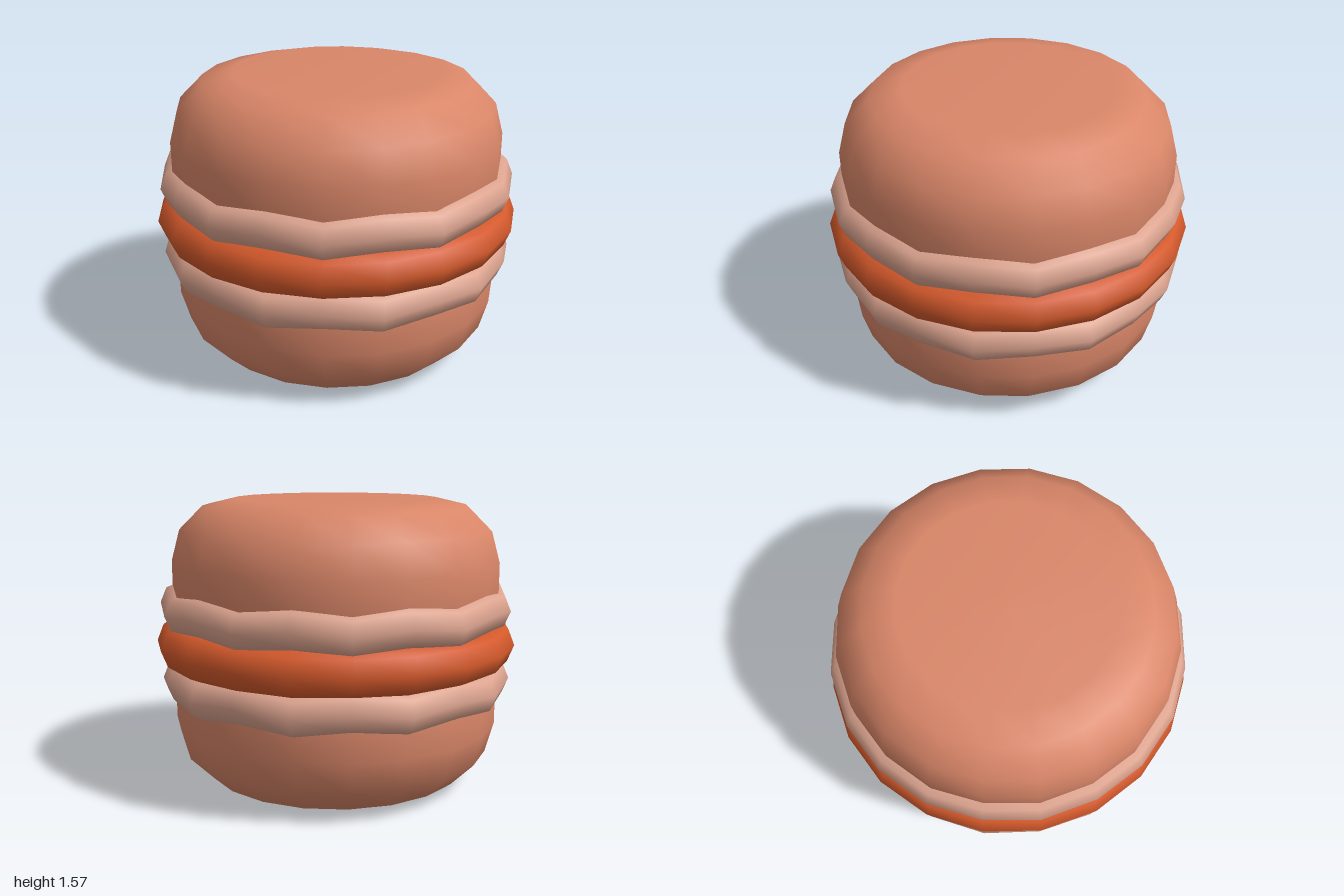
import * as THREE from 'three';

const SIDES = 20;
const HEIGHT = 1.57;

const mat = (name, color) => {
  const m = new THREE.MeshStandardMaterial({ color });
  m.name = name;
  return m;
};

// Revolve [radius, height] pairs, listed from bottom to top
const revolve = (pairs) =>
  new THREE.LatheGeometry(pairs.map(([r, y]) => new THREE.Vector2(r, y)), SIDES);

// Ring with an eight-sided section, starting and ending on its inner side
function ring(radius, tubeX, tubeY, y) {
  const section = [];
  for (let i = 0; i <= 8; i++) {
    const a = -Math.PI + (i / 8) * Math.PI * 2;
    section.push([radius + tubeX * Math.cos(a), y + tubeY * Math.sin(a)]);
  }
  return revolve(section);
}

// Lift every other column of the ring to make a ruffled edge
function ruffle(geometry, amount) {
  const p = geometry.attributes.position;
  for (let i = 0; i < p.count; i++) {
    const angle = Math.atan2(p.getX(i), p.getZ(i));
    p.setY(i, p.getY(i) + amount * Math.cos((angle * SIDES) / 2));
  }
  return geometry;
}

export function createModel() {
  const model = new THREE.Group();
  model.name = 'sandwichCookie';

  const shellMat = mat('baked shell', 0xd98668);
  const skirtMat = mat('pale ruffle', 0xdda48f);
  const fillingMat = mat('orange filling', 0xd4592b);

  const add = (parent, name, geometry, material) => {
    const mesh = new THREE.Mesh(geometry, material);
    mesh.name = name;
    parent.add(mesh);
  };

  // Domed shell with a flat crown, and the ruffled skirt at its rim
  const shell = revolve([
    [0, 0.95], [0.86, 0.95], [0.906, 1.0], [0.906, 1.23],
    [0.86, 1.4], [0.73, 1.53], [0.56, HEIGHT], [0, HEIGHT],
  ]);
  const skirt = ruffle(ring(0.86, 0.115, 0.115, 0.985), 0.015);

  for (const side of ['top', 'bottom']) {
    const half = new THREE.Group();
    half.name = side + 'Half';
    add(half, side + 'Shell', shell, shellMat);
    add(half, side + 'Skirt', skirt, skirtMat);
    // The bottom half is the top half turned over
    if (side === 'bottom') {
      half.rotation.z = Math.PI;
      half.position.y = HEIGHT;
    }
    model.add(half);
  }

  // Filling: bulging rim around a solid core
  add(model, 'fillingRim', ring(0.88, 0.12, 0.125, HEIGHT / 2), fillingMat);
  add(model, 'fillingCore', revolve([[0, 0.6], [0.84, 0.6], [0.84, 0.97], [0, 0.97]]), fillingMat);

  return model;
}
